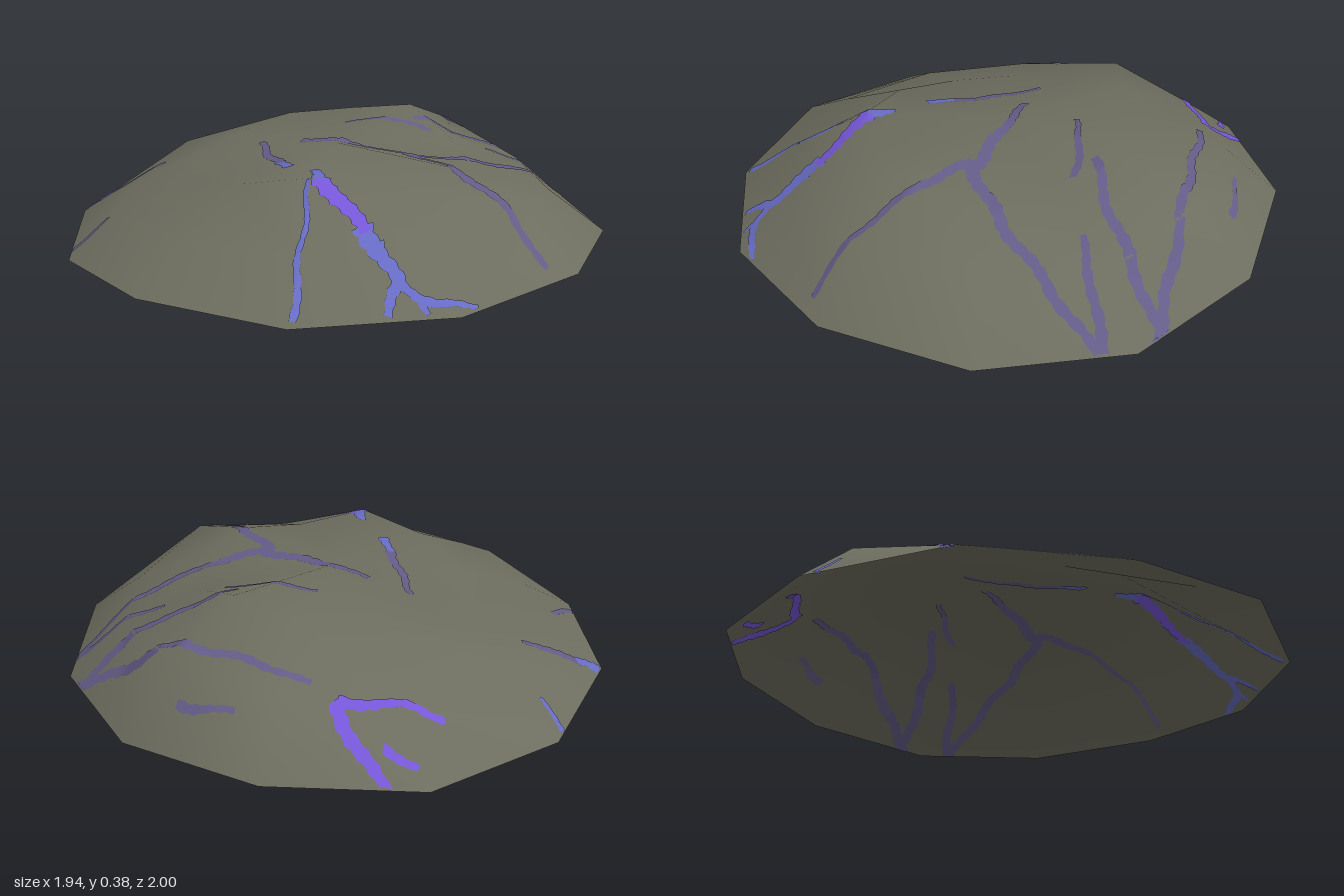
import * as THREE from 'three';
import { mergeGeometries } from 'three/addons/utils/BufferGeometryUtils.js';

const SIDES = 12;
// Rings of the mound from inside out: radius and the height at each spoke
const RINGS = [
  [0.5, [0.335, 0.35, 0.385, 0.29, 0.27, 0.315, 0.27, 0.33, 0.28, 0.23, 0.23, 0.285]],
  [0.79, [0.2, 0.25, 0.28, 0.19, 0.18, 0.235, 0.15, 0.16, 0.14, 0.12, 0.13, 0.21]],
  [1, [0.035, 0.07, 0.05, 0.02, 0.03, 0.045, 0.03, 0.02, 0.03, 0, 0.015, 0.02]],
];

// Veins: start x, z, end x, z, width, sideways bow
const PURPLE = [
  [-0.07, 0.49, 0.07, 0.69, 0.07],
  [-0.04, -0.77, -0.21, -0.97, 0.05, 0.02],
  [-0.05, -0.77, -0.38, -0.74, 0.035],
  [-0.19, -0.87, -0.3, -0.9, 0.03],
];
const BLUE = [
  [-0.07, 0.5, -0.09, 0.4, 0.05],
  [0.06, 0.67, 0.16, 0.86, 0.07],
  [0.16, 0.85, 0.12, 0.96, 0.04],
  [0.16, 0.86, 0.39, 0.91, 0.035, 0.03],
  [0.11, 0.72, 0.24, 0.95, 0.03, 0.02],
  [-0.16, 0.98, -0.1, 0.5, 0.025],
  [-0.17, 0.28, -0.21, 0.18, 0.045],
  [-0.78, -0.61, -0.7, -0.54, 0.03],
  [-0.97, -0.2, -0.87, -0.23, 0.06],
];
const MUTED = [
  [-0.2, 0.19, -0.28, -0.16, 0.04],
  [0.3, 0.14, -0.12, -0.09, 0.05],
  [0.28, 0.14, 0.94, -0.22, 0.05, 0.05],
  [0.25, 0.13, 0.64, 0.68, 0.04],
  [0.92, -0.4, 0.04, -0.73, 0.04],
  [0.92, -0.46, 0.32, -0.28, 0.05, -0.04],
  [0.46, -0.74, 0.27, -0.81, 0.025],
  [-0.88, -0.23, -0.66, -0.28, 0.04],
  [-0.94, 0.27, -0.82, 0.12, 0.03],
  [0.38, -0.2, 0.05, -0.25, 0.03, 0.02],
  [0.93, -0.23, 0.6, -0.2, 0.04],
];

function material(name, hex) {
  const m = new THREE.MeshStandardMaterial({ color: hex, side: THREE.DoubleSide });
  m.name = name;
  return m;
}

function smoothGeometry(pos, index) {
  const g = new THREE.BufferGeometry();
  g.setAttribute('position', new THREE.Float32BufferAttribute(pos, 3));
  g.setIndex(index);
  g.computeVertexNormals();
  return g;
}

// Low-sided mound, open underneath, with smooth normals
function moundGeometry() {
  const pos = [0, 0.325, 0];
  const index = [];
  for (const [r, heights] of RINGS) {
    heights.forEach((y, i) => {
      const a = THREE.MathUtils.degToRad(-19.8 + i * 30);
      pos.push(Math.sin(a) * r * 0.987, y, -Math.cos(a) * r * 1.015);
    });
  }
  for (let i = 0; i < SIDES; i++) {
    const j = (i + 1) % SIDES;
    index.push(0, 1 + j, 1 + i);
    for (let k = 0; k < RINGS.length - 1; k++) {
      const a = 1 + k * SIDES, b = a + SIDES;
      index.push(a + i, a + j, b + i, a + j, b + j, b + i);
    }
  }
  return smoothGeometry(pos, index);
}

// Returns a function that drops a point (x, z) onto the mound
function surfaceSampler(g) {
  const p = g.attributes.position, idx = g.index.array;
  return (x, z) => {
    // Points past the rim are drawn inward until they land
    for (;;) {
      for (let t = 0; t < idx.length; t += 3) {
        const [a, b, c] = [idx[t], idx[t + 1], idx[t + 2]];
        const ax = p.getX(a), az = p.getZ(a);
        const bx = p.getX(b) - ax, bz = p.getZ(b) - az;
        const cx = p.getX(c) - ax, cz = p.getZ(c) - az;
        const d = bx * cz - bz * cx;
        const u = ((x - ax) * cz - (z - az) * cx) / d;
        const v = (bx * (z - az) - bz * (x - ax)) / d;
        if (u >= -1e-6 && v >= -1e-6 && u + v <= 1 + 1e-6) {
          return [x, p.getY(a) * (1 - u - v) + p.getY(b) * u + p.getY(c) * v, z];
        }
      }
      x *= 0.99;
      z *= 0.99;
    }
  };
}

// Thin ribbon draped on the surface, narrowing towards its end
function veinGeometry(drop, [x0, z0, x1, z1, width, bow = 0], lift) {
  const dx = x1 - x0, dz = z1 - z0;
  const length = Math.hypot(dx, dz);
  const nx = -dz / length, nz = dx / length;
  const n = Math.ceil(length / 0.02) + 3;
  const pos = [], index = [];
  for (let i = 0; i <= n; i++) {
    const t = i / n;
    const half = width * (1 - 0.4 * t) * (0.5 + 0.1 * Math.sin(i * 2.1 + x0 * 9));
    const drift = bow * Math.sin(t * Math.PI) + 0.008 * Math.sin(t * length * 25);
    for (const side of [-1, 0, 1]) {
      const off = drift + half * side;
      const [x, y, z] = drop(x0 + dx * t + nx * off, z0 + dz * t + nz * off);
      pos.push(x, y + lift, z);
    }
    if (i < n) {
      for (const a of [i * 3, i * 3 + 1]) {
        index.push(a, a + 3, a + 1, a + 1, a + 3, a + 4);
      }
    }
  }
  return smoothGeometry(pos, index);
}

export function createModel() {
  const group = new THREE.Group();
  group.name = 'veinedMound';

  const ground = moundGeometry();
  const mound = new THREE.Mesh(ground, material('stoneGrey', 0x6d6d5f));
  mound.name = 'mound';
  group.add(mound);

  // Each set of veins lies on both faces of the thin shell
  const drop = surfaceSampler(ground);
  const addVeins = (name, veins, mat, lift) => {
    const parts = veins.flatMap((v) => [veinGeometry(drop, v, lift), veinGeometry(drop, v, -lift)]);
    const mesh = new THREE.Mesh(mergeGeometries(parts), mat);
    mesh.name = name;
    group.add(mesh);
  };
  addVeins('fadedVeins', MUTED, material('dustyViolet', 0x635c88), 0.003);
  addVeins('blueVeins', BLUE, material('periwinkle', 0x676bc4), 0.0035);
  addVeins('purpleVeins', PURPLE, material('brightPurple', 0x7657d8), 0.004);
  return group;
}
